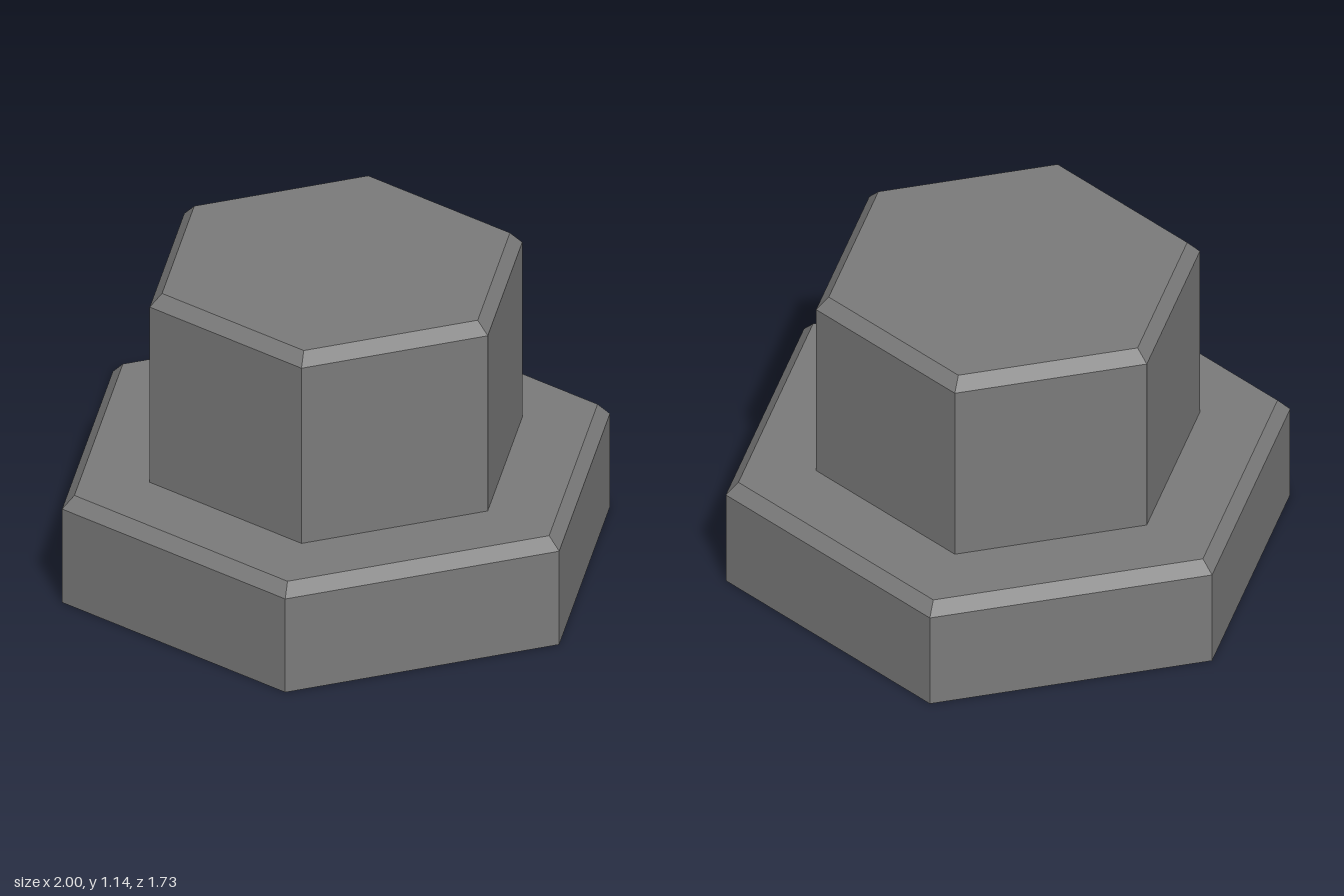
import * as THREE from 'three';

// Hexagonal open shell turned from a [radius, height] profile, corners on the x axis
function hexShell(name, profile, material) {
  const points = profile.map(([r, y]) => new THREE.Vector2(r, y));
  const geometry = new THREE.LatheGeometry(points, 6, Math.PI / 2).toNonIndexed();
  geometry.computeVertexNormals();
  const mesh = new THREE.Mesh(geometry, material);
  mesh.name = name;
  return mesh;
}

export function createModel() {
  const group = new THREE.Group();
  group.name = 'steppedHexCap';

  const grey = new THREE.MeshStandardMaterial({
    color: 0x7a7a7a, flatShading: true, side: THREE.DoubleSide,
  });
  grey.name = 'grey';

  // Wide skirt, open below, with a bevelled shoulder and a flat ledge
  group.add(hexShell('base', [[1, 0], [1, 0.365], [0.955, 0.41], [0.68, 0.41]], grey));

  // Hollow upper block with a bevelled rim and a closed top
  group.add(hexShell('upperBlock', [[0.68, 0.41], [0.68, 1.095], [0.635, 1.14]], grey));

  // Flat hexagonal lid
  const lid = new THREE.Mesh(new THREE.CircleGeometry(0.635, 6), grey);
  lid.name = 'lid';
  lid.rotation.x = -Math.PI / 2;
  lid.position.y = 1.14;
  group.add(lid);

  return group;
}
